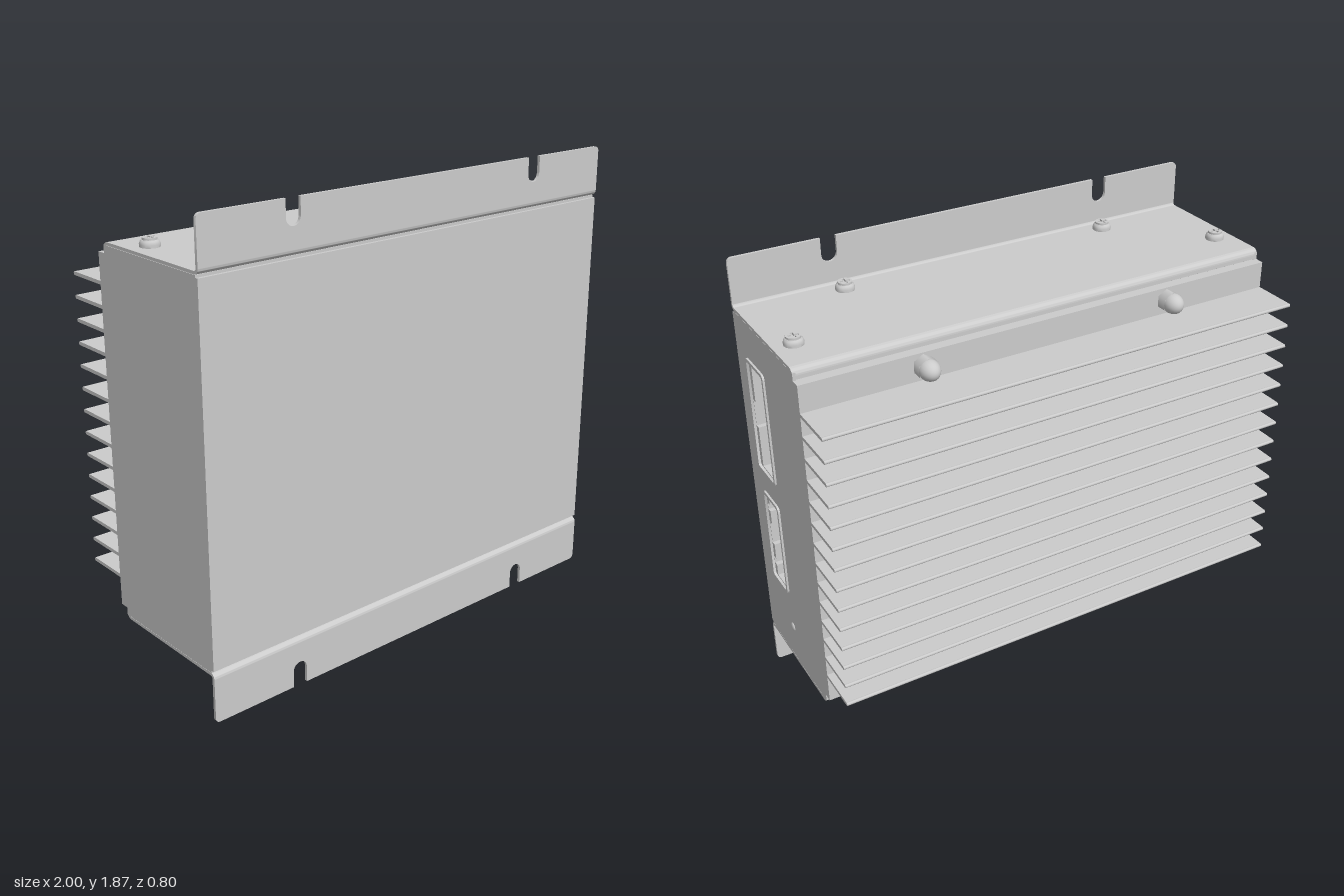
import * as THREE from 'three';
import { toCreasedNormals } from 'three/addons/utils/BufferGeometryUtils.js';

const HALF = 0.996;  // half width of the case
const H = 1.87;      // overall height
const T = 0.012;     // sheet thickness
const mat = new THREE.MeshStandardMaterial({ color: 0xcccccc });

function add(parent, name, geo, x = 0, y = 0, z = 0) {
  const m = new THREE.Mesh(geo, mat);
  m.name = name;
  m.position.set(x, y, z);
  parent.add(m);
  return m;
}

function box(parent, name, x0, x1, y0, y1, z0, z1) {
  return add(parent, name, new THREE.BoxGeometry(x1 - x0, y1 - y0, z1 - z0),
    (x0 + x1) / 2, (y0 + y1) / 2, (z0 + z1) / 2);
}

const extrude = (shape, depth) => toCreasedNormals(
  new THREE.ExtrudeGeometry(shape, { depth, bevelEnabled: false, curveSegments: 8 }), 0.6);

// Rounded rectangle centred on (cx, cy)
function roundRect(cx, cy, w, h, r, Type = THREE.Shape) {
  const p = new Type(), a = w / 2 - r, b = h / 2 - r;
  p.absarc(cx + a, cy + b, r, 0, Math.PI / 2);
  p.absarc(cx - a, cy + b, r, Math.PI / 2, Math.PI);
  p.absarc(cx - a, cy - b, r, Math.PI, 1.5 * Math.PI);
  p.absarc(cx + a, cy - b, r, 1.5 * Math.PI, 2 * Math.PI);
  p.closePath();
  return p;
}

// Curved strip of sheet running the full width; profile in (-z, y)
function bend(parent, name, u, y, ro, ri, a0, a1) {
  const s = new THREE.Shape();
  s.absarc(u, y, ro, a0, a1, a1 < a0);
  s.absarc(u, y, ri, a1, a0, a1 > a0);
  s.closePath();
  add(parent, name, extrude(s, 2 * HALF), -HALF).rotation.y = Math.PI / 2;
}

// Socket facing +z: raised rim, keyed sleeve, back wall and contacts
function socket(w, h, keys, pins) {
  const g = new THREE.Group(), depth = 0.13;
  g.name = 'socket';
  const rim = roundRect(0, 0, w, h, 0.02);
  rim.holes.push(roundRect(0, 0, w - 0.026, h - 0.026, 0.012, THREE.Path));
  add(g, 'socketRim', extrude(rim, 0.02), 0, 0, -0.012);

  const sleeve = roundRect(0, 0, w - 0.005, h - 0.005, 0.018);
  const r = w / 2 - 0.016, l = -w / 2 + 0.036, k = l - 0.02, v = h / 2 - 0.018;
  const hole = new THREE.Path();
  hole.moveTo(r, -v);
  hole.lineTo(r, v);
  hole.lineTo(l, v);
  for (const [top, bottom] of keys) {
    hole.lineTo(l, top); hole.lineTo(k, top);
    hole.lineTo(k, bottom); hole.lineTo(l, bottom);
  }
  hole.lineTo(l, -v);
  hole.closePath();
  sleeve.holes.push(hole);
  add(g, 'socketSleeve', extrude(sleeve, depth), 0, 0, -depth - 0.002);
  box(g, 'socketBack', -w / 2 + 0.01, w / 2 - 0.01, -h / 2 + 0.01, h / 2 - 0.01, -depth - 0.012, -depth);
  // Latch rib on the plain side
  box(g, 'latchRib', r - 0.03, r + 0.004, -0.004, 0.004, -depth, -0.02);
  for (let i = 0; i < pins; i++) {
    const y = (i / (pins - 1) - 0.5) * (h - 0.12);
    for (const x of [-0.01, 0.025]) box(g, 'contact', x - 0.005, x + 0.005, y - 0.005, y + 0.005, -depth, -0.06);
  }
  return g;
}

// Bent bracket: slotted mounting flange, plate over the case and a short rear lip
function bracket(name, cutouts) {
  const g = new THREE.Group();
  g.name = name;
  const y0 = 1.69, y1 = H, r = 0.02, f = new THREE.Shape();
  f.moveTo(-HALF, y0);
  f.lineTo(HALF, y0);
  f.absarc(HALF - r, y1 - r, r, 0, Math.PI / 2);
  for (const x of [0.603, -0.603]) {
    f.lineTo(x + 0.032, y1);
    f.absarc(x, 1.804, 0.032, 0, -Math.PI, true);
    f.lineTo(x - 0.032, y1);
  }
  f.absarc(-HALF + r, y1 - r, r, Math.PI / 2, Math.PI);
  f.closePath();
  add(g, 'mountingFlange', extrude(f, T), 0, 0, 0.388);
  bend(g, 'flangeBend', -0.378, 1.69, 0.022, 0.01, Math.PI, 1.5 * Math.PI);

  const p = new THREE.Shape();
  p.moveTo(-HALF, -0.378);
  p.lineTo(HALF, -0.378);
  p.lineTo(HALF, 0.15);
  p.lineTo(-HALF, 0.15);
  p.closePath();
  for (const x of cutouts) p.holes.push(roundRect(x, -0.01, 0.51, 0.135, 0.015, THREE.Path));
  add(g, 'bracketPlate', extrude(p, T), 0, 1.668, 0).rotation.x = -Math.PI / 2;
  bend(g, 'rearBend', 0.15, 1.655, 0.025, 0.013, Math.PI / 2, 0);
  box(g, 'rearLip', -HALF, HALF, 1.64, 1.655, -0.175, -0.163);
  // Filler behind the groove along the front panel
  box(g, 'grooveFiller', -HALF + 0.01, HALF - 0.01, 1.63, 1.668, 0.36, 0.384);
  return g;
}

// Pan head screw pointing up, with a cross recess
function screw(parent, x, y, z, down = false) {
  const g = new THREE.Group();
  g.name = 'screw';
  const prof = [[0, 0], [0.037, 0], [0.038, 0.01], [0.034, 0.021], [0.029, 0.026], [0, 0.026]];
  add(g, 'screwHead', toCreasedNormals(new THREE.LatheGeometry(
    prof.map(([a, b]) => new THREE.Vector2(a, b)), 20), 0.7));
  const cap = new THREE.Shape().absarc(0, 0, 0.028, 0, 2 * Math.PI);
  const cross = new THREE.Path(), a = 0.005, b = 0.02;
  cross.setFromPoints([[b, -a], [b, a], [a, a], [a, b], [-a, b], [-a, a], [-b, a], [-b, -a],
    [-a, -a], [-a, -b], [a, -b], [a, -a]].map(([u, v]) => new THREE.Vector2(u, v)));
  cap.holes.push(cross);
  add(g, 'screwCap', extrude(cap, 0.008), 0, 0.026, 0).rotation.x = -Math.PI / 2;
  g.position.set(x, y, z);
  if (down) g.rotation.x = Math.PI;
  parent.add(g);
}

export function createModel() {
  const model = new THREE.Group();
  const body = new THREE.Group();
  body.name = 'driveUnit';
  body.position.x = -0.004;
  model.add(body);

  // Case panels
  box(body, 'frontPanel', -HALF, HALF, 0.212, 1.658, 0.385, 0.397);
  box(body, 'rightPanel', -HALF, -HALF + T, 0.203, 1.667, -0.175, 0.385);
  const side = new THREE.Shape();
  side.moveTo(-0.385, 0.203);
  side.lineTo(0.175, 0.203);
  side.lineTo(0.175, 1.667);
  side.lineTo(-0.385, 1.667);
  side.closePath();
  const sideSockets = [
    { z: 0.21, y: 1.28, w: 0.178, h: 0.478, keys: [[0.06, -0.05]], pins: 4 },
    { z: 0.203, y: 0.737, w: 0.158, h: 0.415, keys: [[0.15, 0.12], [0.06, -0.04], [-0.11, -0.14]], pins: 6 },
  ];
  for (const s of sideSockets) {
    side.holes.push(roundRect(-s.z, s.y, s.w - 0.01, s.h - 0.01, 0.015, THREE.Path));
    const k = socket(s.w, s.h, s.keys, s.pins);
    k.position.set(HALF, s.y, s.z);
    k.rotation.y = Math.PI / 2;
    body.add(k);
  }
  add(body, 'leftPanel', extrude(side, T), HALF - T).rotation.y = Math.PI / 2;
  add(body, 'indicatorLamp', new THREE.SphereGeometry(0.018, 16, 12), HALF, 0.365, 0.125).scale.x = 0.4;

  // Brackets; the lower one is the upper one turned over
  body.add(bracket('topBracket', []));
  const lower = bracket('bottomBracket', [-0.39, 0.39]);
  lower.rotation.z = Math.PI;
  lower.position.y = H;
  body.add(lower);
  for (const x of [-0.39, 0.39]) {
    const s = socket(0.145, 0.52, [[0.2, 0.16], [0.09, 0.05], [-0.05, -0.09], [-0.16, -0.2]], 7);
    const turn = new THREE.Group();
    turn.name = 'bottomSocket';
    s.rotation.z = Math.PI / 2;
    turn.add(s);
    turn.rotation.x = Math.PI / 2;
    turn.position.set(x, 0.19, 0.01);
    body.add(turn);
  }

  // Heat sink
  box(body, 'heatSinkBase', -HALF, HALF, 0.233, 1.637, -0.212, -0.17);
  for (let i = 0; i < 14; i++) {
    const y = 0.357 + i * 0.0896;
    box(body, 'coolingFin', -HALF, HALF, y - 0.007, y + 0.007, -0.392, -0.21);
    const tip = add(body, 'finTip', new THREE.CylinderGeometry(0.0075, 0.0075, 2 * HALF, 10), 0, y, -0.3925);
    tip.rotation.z = Math.PI / 2;
  }

  // Screws and domed nuts
  for (const s of [-1, 1]) {
    for (const [x, z] of [[0.916, 0], [0.578, 0.32]]) {
      screw(body, s * x, 1.68, z);
      screw(body, s * x, 0.19, z, true);
    }
    for (const y of [0.282, 1.588]) {
      const nut = new THREE.Group();
      nut.name = 'domedNut';
      add(nut, 'nutHex', new THREE.CylinderGeometry(0.043, 0.043, 0.045, 6).toNonIndexed(), 0, 0.0225, 0);
      add(nut, 'nutDome', new THREE.SphereGeometry(0.04, 20, 10, 0, 2 * Math.PI, 0, Math.PI / 2), 0, 0.045, 0).scale.y = 1.25;
      nut.rotation.x = -Math.PI / 2;
      nut.position.set(s * 0.525, y, -0.21);
      body.add(nut);
    }
  }

  // Earth terminal under the case
  add(body, 'earthPost', new THREE.CylinderGeometry(0.028, 0.028, 0.085, 6), -0.88, 0.1525, 0.28);
  screw(body, -0.88, 0.118, 0.28, true);
  return model;
}
